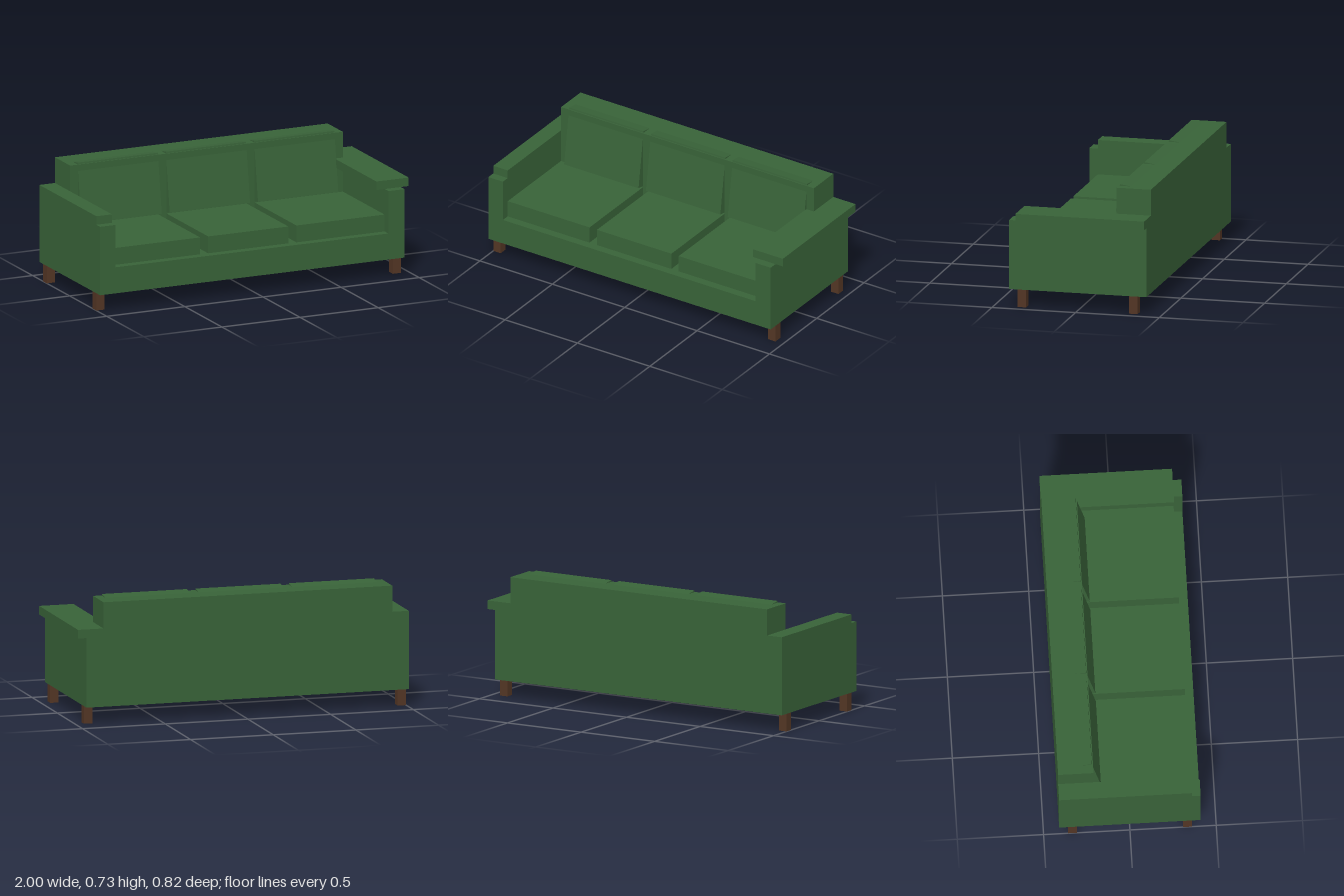
import * as THREE from 'three';

const fabric = new THREE.MeshStandardMaterial({ color: 0x386238 });
fabric.name = 'green fabric';
const wood = new THREE.MeshStandardMaterial({ color: 0x523524 });
wood.name = 'brown wood';

// Box given by its lower and upper corner
function block(name, [x0, y0, z0], [x1, y1, z1], material = fabric) {
  const mesh = new THREE.Mesh(new THREE.BoxGeometry(x1 - x0, y1 - y0, z1 - z0), material);
  mesh.position.set((x0 + x1) / 2, (y0 + y1) / 2, (z0 + z1) / 2);
  mesh.name = name;
  return mesh;
}

export function createModel() {
  const sofa = new THREE.Group();
  sofa.name = 'sofa';

  // Frame: base, two arms and the back
  sofa.add(
    block('base', [-1, 0.104, -0.41], [0.949, 0.26, 0.41]),
    block('rightArm', [-1, 0.26, -0.41], [-0.9, 0.514, 0.41]),
    block('leftArm', [0.846, 0.26, -0.41], [0.949, 0.514, 0.41]),
    block('back', [-0.9, 0.26, -0.41], [0.846, 0.719, -0.205])
  );

  // Arm caps: the right one is flush, the left one overhangs on both sides
  sofa.add(
    block('rightArmCap', [-1, 0.514, -0.41], [-0.9, 0.565, 0.359]),
    block('leftArmCap', [0.793, 0.514, -0.41], [1, 0.565, 0.359])
  );

  // Seat cushions; the outer ones reach the arms
  const seats = [[-0.9, -0.335], [-0.284, 0.23], [0.281, 0.846]];
  for (const [x0, x1] of seats) {
    sofa.add(block('seatCushion', [x0, 0.26, -0.205], [x1, 0.361, 0.359]));
  }

  // Back cushions, leaning backwards about their lower front edge
  for (const x of [-0.592, -0.027, 0.538]) {
    const geometry = new THREE.BoxGeometry(0.514, 0.357, 0.103);
    geometry.translate(0, 0.357 / 2, -0.103 / 2);
    const cushion = new THREE.Mesh(geometry, fabric);
    cushion.position.set(x, 0.376, -0.159);
    cushion.rotation.x = -0.15;
    cushion.name = 'backCushion';
    sofa.add(cushion);
  }

  // Legs
  for (const x of [-1, 0.898]) {
    for (const z of [-0.358, 0.308]) {
      sofa.add(block('leg', [x, 0, z], [x + 0.051, 0.104, z + 0.051], wood));
    }
  }
  return sofa;
}
